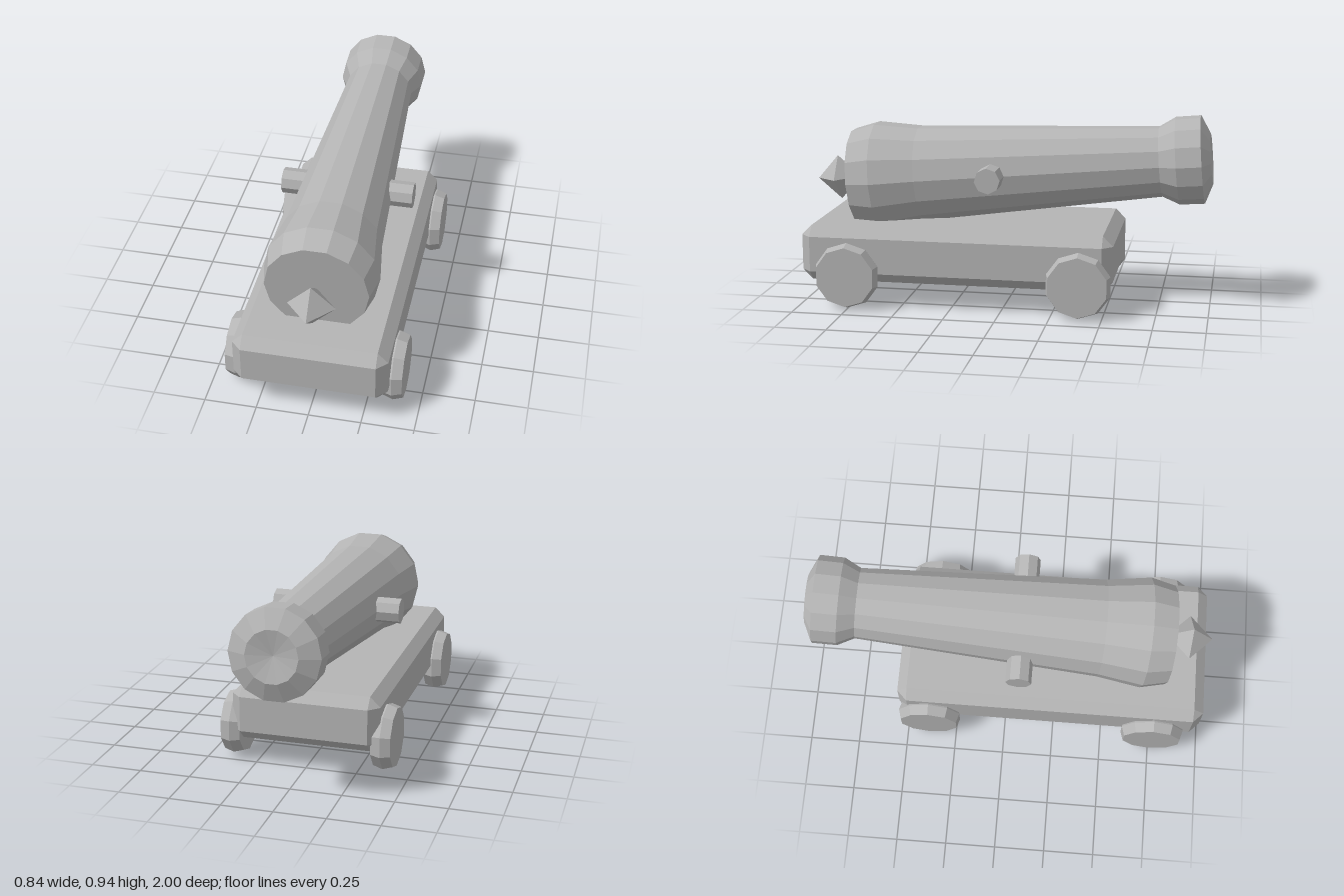
import * as THREE from 'three';
import { ConvexGeometry } from 'three/addons/geometries/ConvexGeometry.js';

const metal = new THREE.MeshStandardMaterial({ color: 0xb4b4b4, flatShading: true });
metal.name = 'grey';

function part(name, geometry, parent) {
  const mesh = new THREE.Mesh(geometry, metal);
  mesh.name = name;
  parent.add(mesh);
  return mesh;
}

// Lathe whose first vertex sits on the +x side
function lathe(profile, sides) {
  return new THREE.LatheGeometry(profile.map(([r, y]) => new THREE.Vector2(r, y)), sides, Math.PI / 2);
}

// Box with every edge and corner chamfered
function chamferedBox(w, h, d, c) {
  const points = [];
  for (const x of [-w / 2, w / 2]) for (const y of [-h / 2, h / 2]) for (const z of [-d / 2, d / 2]) {
    const ix = x - Math.sign(x) * c, iy = y - Math.sign(y) * c, iz = z - Math.sign(z) * c;
    points.push(new THREE.Vector3(x, iy, iz), new THREE.Vector3(ix, y, iz), new THREE.Vector3(ix, iy, z));
  }
  return new ConvexGeometry(points);
}

export function createModel() {
  const model = new THREE.Group();
  model.name = 'cannon';

  // Carriage bed
  part('carriage', chamferedBox(0.73, 0.275, 1.54, 0.05), model).position.set(0, 0.2625, 0.225);

  // Four bevelled ten-sided wheels
  const wheel = lathe([[0, -0.048], [0.148, -0.048], [0.163, 0], [0.148, 0.048], [0, 0.048]], 10);
  for (const x of [-0.373, 0.373]) for (const z of [0.755, -0.385]) {
    const mesh = part('wheel', wheel, model);
    mesh.position.set(x, 0.166, z);
    mesh.rotation.z = -Math.PI / 2;
  }

  // Tilted gun: local -z runs from the breech to the muzzle
  const gun = new THREE.Group();
  gun.name = 'gun';
  gun.position.set(0, 0.59, 0.79);
  gun.rotation.x = 0.08;
  model.add(gun);

  // Barrel with flared muzzle and shallow bore
  const barrel = lathe([
    [0, 0], [0.245, 0], [0.273, 0.122], [0.24, 0.342], [0.173, 1.538],
    [0.215, 1.62], [0.216, 1.742], [0.124, 1.785], [0, 1.76],
  ], 14);
  part('barrel', barrel, gun).rotation.x = -Math.PI / 2;

  // Pointed knob behind the breech
  part('knob', new THREE.OctahedronGeometry(0.112), gun).position.z = 0.1;

  // Side pivots
  for (const side of [-1, 1]) {
    const pivot = part('pivot', new THREE.CylinderGeometry(0.063, 0.063, 0.145, 8), gun);
    pivot.position.set(side * 0.2525, 0, -0.727);
    pivot.rotation.z = Math.PI / 2;
  }
  return model;
}
